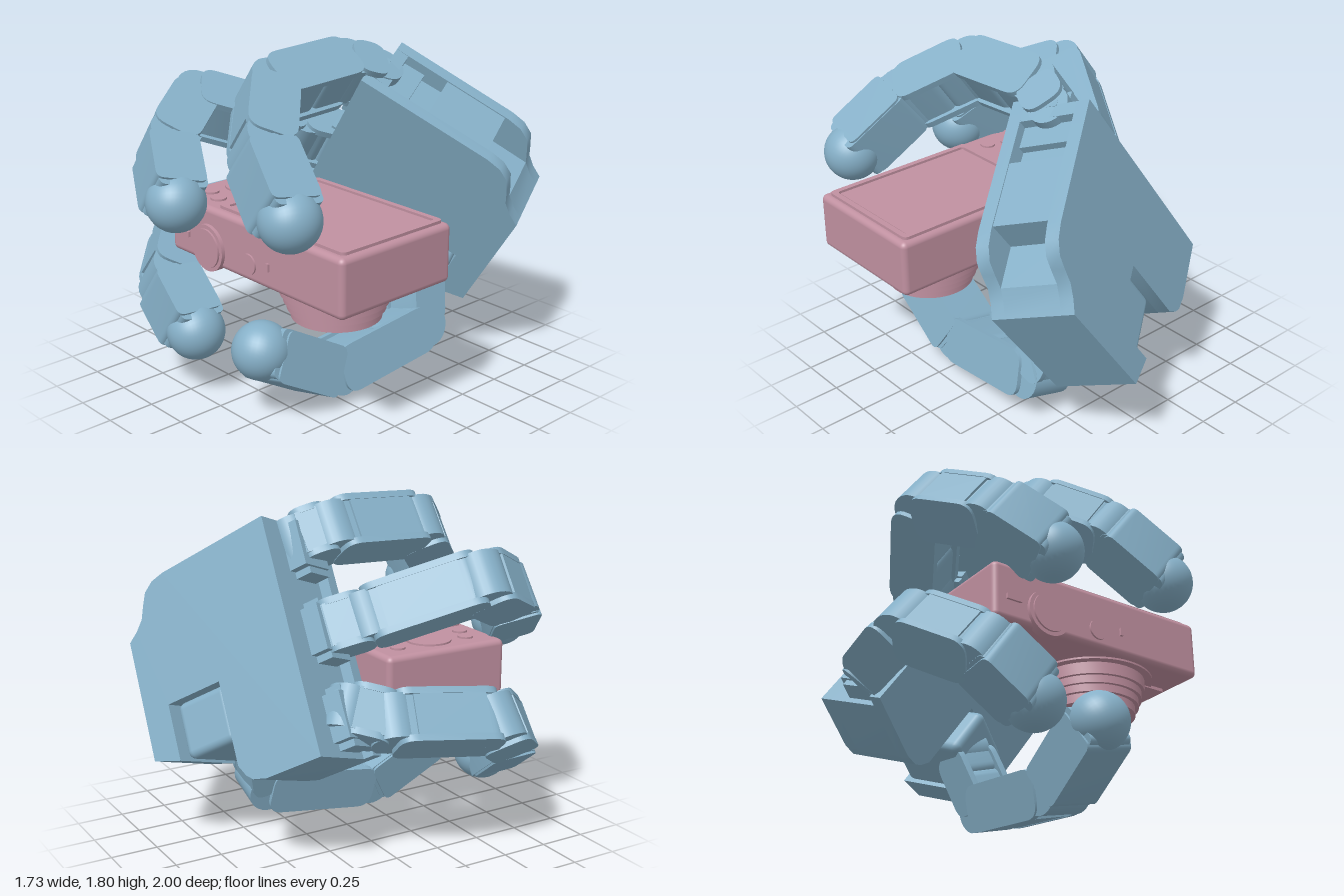
import * as THREE from 'three';
import { RoundedBoxGeometry } from 'three/addons/geometries/RoundedBoxGeometry.js';
import { toCreasedNormals } from 'three/addons/utils/BufferGeometryUtils.js';

const blue = new THREE.MeshStandardMaterial({ color: 0x86b0c8 });
const pink = new THREE.MeshStandardMaterial({ color: 0xc090a0 });
const V = (x, y, z) => new THREE.Vector3(x, y, z);

function add(parent, name, geometry, material, x = 0, y = 0, z = 0) {
  const mesh = new THREE.Mesh(geometry, material);
  mesh.name = name;
  mesh.position.set(x, y, z);
  parent.add(mesh);
  return mesh;
}
const box = (w, h, d) => new THREE.BoxGeometry(w, h, d);
const cyl = (r, h, n = 40) => new THREE.CylinderGeometry(r, r, h, n);

function extrude(points, depth) {
  const shape = points instanceof THREE.Shape ? points : new THREE.Shape(points.map(p => new THREE.Vector2(...p)));
  const g = new THREE.ExtrudeGeometry(shape, { depth, bevelEnabled: false, curveSegments: 6 });
  return toCreasedNormals(g, 0.6);
}

function roundedRect(x0, y0, x1, y1, r) {
  const s = new THREE.Shape();
  s.moveTo(x0 + r, y0);
  s.lineTo(x1 - r, y0); s.quadraticCurveTo(x1, y0, x1, y0 + r);
  s.lineTo(x1, y1 - r); s.quadraticCurveTo(x1, y1, x1 - r, y1);
  s.lineTo(x0 + r, y1); s.quadraticCurveTo(x0, y1, x0, y1 - r);
  s.lineTo(x0, y0 + r); s.quadraticCurveTo(x0, y0, x0 + r, y0);
  return s;
}

// Group at a, local x towards b, local z along the hinge axis, local y on the gripping side
function frame(parent, name, a, b, axis) {
  const X = b.clone().sub(a).normalize();
  const Y = axis.clone().cross(X).normalize();
  const Z = X.clone().cross(Y);
  const g = new THREE.Group();
  g.name = name;
  g.quaternion.setFromRotationMatrix(new THREE.Matrix4().makeBasis(X, Y, Z));
  g.position.copy(a);
  parent.add(g);
  return g;
}

function hinge(parent, r, width) {
  add(parent, 'hinge', cyl(r, width, 28), blue).rotation.x = Math.PI / 2;
}

// Finger link: two rounded cheeks, a core and an outer shell
function link(parent, a, b, axis, width = 0.28, thick = 0.25) {
  const len = a.distanceTo(b), h = thick / 2, w = width / 2;
  const g = frame(parent, 'fingerLink', a, b, axis);
  const cheek = extrude(roundedRect(0, -h, len, h, 0.08), 0.035);
  add(g, 'cheek', cheek, blue, 0, 0, w - 0.035);
  add(g, 'cheek', cheek, blue, 0, 0, -w);
  const core = extrude(roundedRect(-0.03, -h + 0.015, len * 0.47, h - 0.02, 0.05), width - 0.06);
  add(g, 'coreNear', core, blue, 0, 0, -w + 0.03);
  add(g, 'coreFar', core, blue, len * 0.5, 0, -w + 0.03);
  add(g, 'outerShell', box(len * 0.7, 0.03, width - 0.05), blue, len / 2, -h + 0.018, 0);
  hinge(g, h - 0.005, width - 0.05);
}

// Last link ending in a ball
function fingertip(parent, a, b, axis) {
  const len = a.distanceTo(b);
  const g = frame(parent, 'fingertip', a, b, axis);
  hinge(g, 0.12, 0.25);
  add(g, 'tipBlock', extrude(roundedRect(0, -0.125, len, 0.125, 0.04), 0.26), blue, 0, 0, -0.13);
  add(g, 'tipCheek', extrude(roundedRect(0.02, -0.14, len - 0.03, 0.12, 0.04), 0.285), blue, 0, 0, -0.1425);
  add(g, 'tipBall', new THREE.SphereGeometry(0.15, 36, 24), blue, len);
}

function finger(parent, name, joints, axis, baseWidth = 0.27) {
  const g = new THREE.Group();
  g.name = name;
  parent.add(g);
  const p = joints.map(j => V(...j)), n = p.length;
  link(g, p[0], p[1], axis, baseWidth, 0.22);
  for (let i = 1; i < n - 2; i++) link(g, p[i], p[i + 1], axis);
  fingertip(g, p[n - 2], p[n - 1], axis);
}

// Palm outline: x from knuckles (-) to wrist (0), y across the knuckles
const lowerEdge = [
  [-0.58, -0.93], [-0.545, -0.9], [-0.51, -0.84], [-0.51, -0.4], [-0.165, -0.4], [-0.165, -0.7], [0, -0.65],
];
const flare = [[0, 0], [-0.06, 0.04], [-0.11, 0.09], [-0.14, 0.16], [-0.17, 0.22], [-0.23, 0.26], [-0.31, 0.275]];
const knuckleEdge = x => [[x, 0.295], [x, -0.95], [-0.66, -0.95]];
const notches = [
  [-0.33, 0.1], [-0.33, 0.27], [-0.68, 0.28], [-0.68, 0.2], [-0.8, 0.2], [-0.8, 0.24], [-0.92, 0.24], [-0.92, 0.29],
];

function palm(parent) {
  const L = V(0.723, -0.473, -0.487).normalize();
  const wrist = V(0.79, 0.86, -0.57);
  const facing = L.clone().cross(V(0.57, 0.81, 0.06));
  const g = frame(parent, 'palm', wrist, wrist.clone().add(L), facing);
  const carved = [...lowerEdge, ...flare.slice(0, 3), ...notches, ...knuckleEdge(-0.99)];
  add(g, 'innerPlate', extrude([...lowerEdge, ...flare, ...knuckleEdge(-1.05)], 0.07), blue, 0, 0, -0.07);
  add(g, 'palmCore', extrude(carved, 0.296), blue, 0, 0, -0.366);
  add(g, 'backPlate', extrude([...lowerEdge, ...flare, ...knuckleEdge(-0.99)], 0.07), blue, 0, 0, -0.436);
  add(g, 'thumbSocket', new RoundedBoxGeometry(0.33, 0.3, 0.47, 3, 0.04), blue, -0.337, -0.55, -0.155);
  // Knuckle brackets along the front edge
  for (const v of [0.14, -0.31, -0.76]) {
    add(g, 'knuckleBlock', box(0.12, 0.24, 0.2), blue, -1.03, v, -0.2);
    for (const s of [-1, 1]) add(g, 'knuckleLug', box(0.1, 0.035, 0.16), blue, -1.03, v + s * 0.14, -0.18);
  }
}

function camera(parent) {
  const g = new THREE.Group();
  g.name = 'camera';
  parent.add(g);
  add(g, 'cameraBody', new RoundedBoxGeometry(1.265, 0.3, 0.715, 4, 0.03), pink, 0.23, 0.887, 0.36);
  // Screen with a raised rim
  const rim = roundedRect(-0.06, -0.68, 0.83, -0.03, 0.03);
  rim.holes.push(roundedRect(-0.02, -0.65, 0.8, -0.06, 0.02));
  add(g, 'screenRim', extrude(rim, 0.03), pink, 0, 1.022, 0).rotation.x = -Math.PI / 2;
  add(g, 'screen', box(0.8, 0.02, 0.57), pink, 0.39, 1.035, 0.355);
  // Buttons beside the screen
  for (const [x, z, r] of [[-0.22, 0.36, 0.12], [-0.27, 0.56, 0.04], [-0.16, 0.6, 0.04], [-0.17, 0.1, 0.04], [-0.27, 0.14, 0.04]])
    add(g, 'backButton', cyl(r, 0.03), pink, x, 1.032, z);
  // Controls on the narrow front side
  for (const [x, r, h] of [[-0.09, 0.12, 0.05], [-0.09, 0.1, 0.07], [0.215, 0.052, 0.03]])
    add(g, 'dial', cyl(r, h), pink, x, 0.83, 0.712).rotation.x = Math.PI / 2;
  add(g, 'slider', box(0.085, 0.028, 0.03), pink, -0.29, 0.855, 0.715);
  add(g, 'indicator', box(0.016, 0.04, 0.03), pink, 0.36, 0.855, 0.715);
  // Stepped lens barrel, pointing down
  const steps = [
    [0.32, 0.75], [0.32, 0.727], [0.28, 0.727], [0.28, 0.665], [0.262, 0.665], [0.262, 0.625], [0.245, 0.625],
    [0.245, 0.585], [0.225, 0.585], [0.225, 0.54], [0.1, 0.54], [0.09, 0.56], [0, 0.56],
  ].reverse().map(p => new THREE.Vector2(...p));
  add(g, 'lensBarrel', toCreasedNormals(new THREE.LatheGeometry(steps, 56), 0.5), pink, 0.445, 0, 0.36);
  add(g, 'lensShutter', box(0.11, 0.02, 0.06), pink, 0.445, 0.556, 0.36);
  add(g, 'lensPlate', box(0.5, 0.03, 0.3), pink, 0.56, 0.735, 0.36);
}

export function createModel() {
  const model = new THREE.Group();
  model.name = 'robotHandWithCamera';
  palm(model);
  finger(model, 'indexFinger',
    [[0.09, 1.56, -0.24], [0.03, 1.615, -0.07], [0.045, 1.595, 0.45], [0.3, 1.41, 0.7], [0.6, 1.17, 0.79]], V(0.6, 0.8, 0));
  finger(model, 'middleFinger',
    [[-0.2, 1.16, -0.25], [-0.31, 1.23, -0.06], [-0.59, 1.42, 0.42], [-0.42, 1.28, 0.72], [-0.16, 1.08, 0.86]], V(0.57, 0.82, 0));
  finger(model, 'outerFinger',
    [[-0.45, 0.82, -0.27], [-0.57, 0.765, -0.08], [-0.7, 0.72, 0.45], [-0.47, 0.55, 0.71], [-0.2, 0.35, 0.74]], V(0.64, 0.77, 0));
  finger(model, 'thumb',
    [[0.2, 0.55, -0.44], [0.305, 0.225, -0.35], [0.28, 0.145, 0.27], [0.24, 0.37, 0.67]], V(-0.97, -0.25, 0), 0.25);
  camera(model);
  return model;
}
